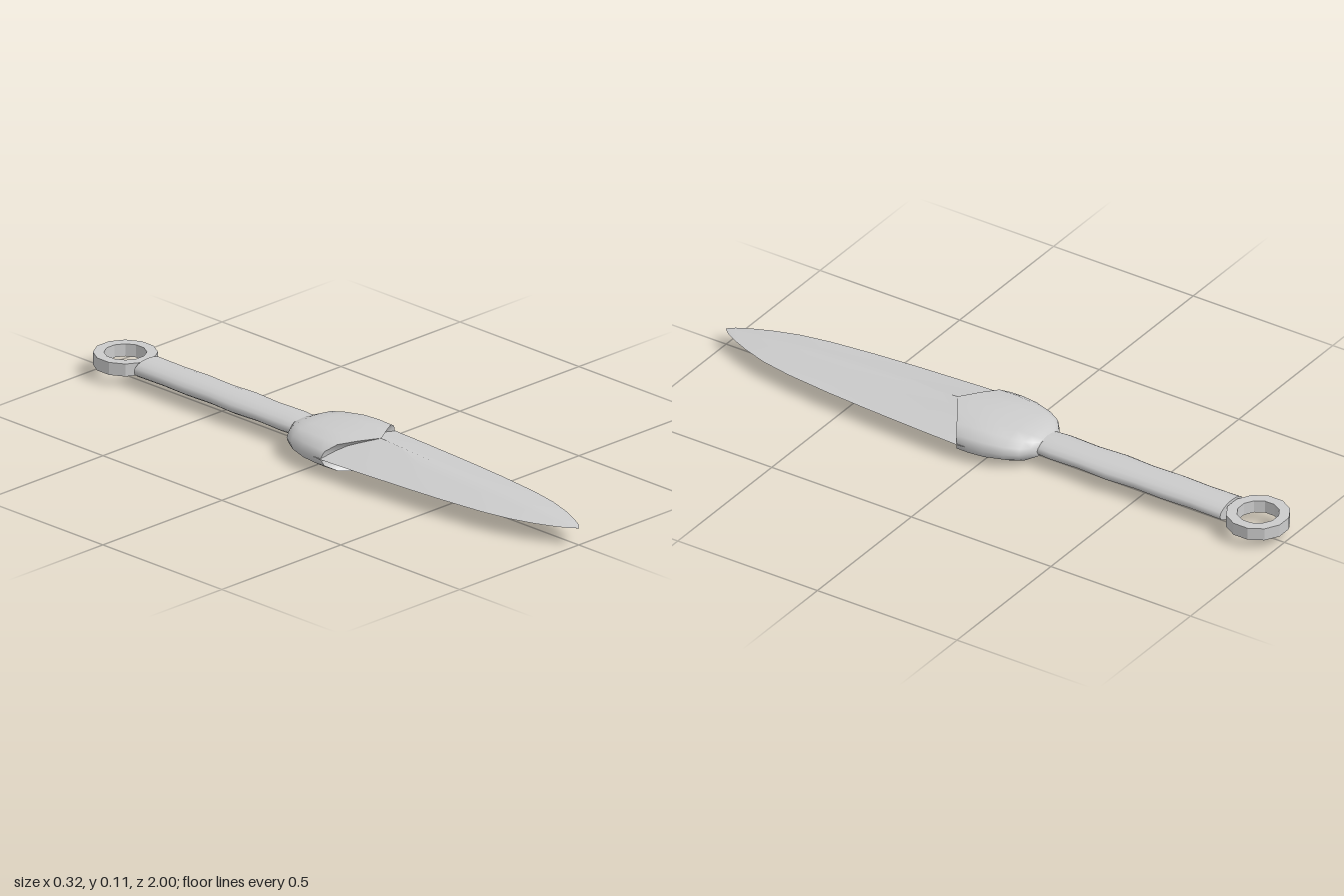
import * as THREE from 'three';
import { toCreasedNormals } from 'three/addons/utils/BufferGeometryUtils.js';

const MID = 0.056; // height of the centre plane
const material = new THREE.MeshStandardMaterial({ color: 0xcccccc });

// Skin closed cross-sections (counterclockwise, ordered towards +z) and cap both ends
function loft(rows, crease) {
  const n = rows[0].length;
  const pos = rows.flat(2);
  const index = [];
  for (let i = 0; i < rows.length - 1; i++) {
    for (let j = 0; j < n; j++) {
      const k = (j + 1) % n;
      const a = i * n + j, b = i * n + k, c = b + n, d = a + n;
      index.push(a, b, c, a, c, d);
    }
  }
  [0, rows.length - 1].forEach((r, end) => {
    const centre = pos.length / 3;
    const z = rows[r].reduce((s, p) => s + p[2], 0) / n;
    pos.push(0, MID, z);
    for (let j = 0; j < n; j++) {
      const a = r * n + j, b = r * n + (j + 1) % n;
      if (end) index.push(centre, a, b);
      else index.push(centre, b, a);
    }
  });
  const g = new THREE.BufferGeometry();
  g.setAttribute('position', new THREE.Float32BufferAttribute(pos, 3));
  g.setIndex(index);
  return toCreasedNormals(g, crease);
}

// Mirror a quarter profile, from the edge to the ridge, into a full loop
function section(quarter, w, h, z, shift = 0) {
  const q = quarter.map(([x, y]) => [x * w, y * h, z + shift * (1 - x)]);
  const flip = (p, sx, sy) => [p[0] * sx, p[1] * sy + MID, p[2]];
  return [
    ...q.slice(0, -1).map(p => flip(p, 1, 1)),
    ...q.slice(1).reverse().map(p => flip(p, -1, 1)),
    ...q.slice(0, -1).map(p => flip(p, -1, -1)),
    ...q.slice(1).reverse().map(p => flip(p, 1, -1)),
  ];
}

const ROUND = [[1, 0], [0.93, 0.45], [0.72, 0.82], [0.38, 0.94], [0, 1]];
const DIAMOND = [[1, 0], [0.85, 0.15], [0.62, 0.38], [0.3, 0.7], [0, 1]];

export function createModel() {
  const group = new THREE.Group();
  const add = (name, geometry) => {
    const mesh = new THREE.Mesh(geometry, material);
    mesh.name = name;
    group.add(mesh);
    return mesh;
  };

  // Rounded shoulder, its front rim running forward to a point on the ridge: z, w, h, shift
  add('shoulder', loft([
    [-0.155, 0.058, 0.026, 0], [-0.14, 0.08, 0.032, 0], [-0.12, 0.108, 0.04, 0],
    [-0.08, 0.132, 0.046, 0.01], [-0.02, 0.15, 0.053, 0.03], [0.03, 0.156, 0.054, 0.06],
    [0.07, 0.157, 0.051, 0.1],
  ].map(([z, w, h, s]) => section(ROUND, w, h, z, s)), 1.0));

  // Blade with a diamond section tapering to the tip
  add('blade', loft([
    [0.04, 0.157, 0.052, 0.1], [0.07, 0.16, 0.05, 0.1], [0.2, 0.154, 0.046, 0.05],
    [0.4, 0.142, 0.037, 0], [0.55, 0.13, 0.03, 0], [0.7, 0.113, 0.023, 0],
    [0.8, 0.094, 0.018, 0], [0.88, 0.068, 0.012, 0], [0.94, 0.042, 0.007, 0],
    [0.98, 0.02, 0.003, 0], [1, 0.002, 0.001, 0],
  ].map(([z, w, h, s]) => section(DIAMOND, w, h, z, s)), 0.6));

  // Slightly uneven oval grip
  const grip = [
    [-0.81, 0.061, 0.028], [-0.7, 0.059, 0.0275], [-0.6, 0.062, 0.029], [-0.5, 0.059, 0.0275],
    [-0.4, 0.065, 0.029], [-0.3, 0.06, 0.0265], [-0.2, 0.063, 0.029], [-0.12, 0.057, 0.026],
  ];
  add('handle', loft(grip.map(([z, w, h]) => Array.from({ length: 16 }, (_, j) => {
    const a = j * Math.PI / 8;
    return [w * Math.cos(a), MID + h * Math.sin(a), z];
  })), 1.1));

  // Flat twelve-sided pommel ring
  const circle = r => Array.from({ length: 12 }, (_, j) => {
    const a = (j + 0.5) * Math.PI / 6;
    return new THREE.Vector2(r * Math.cos(a), r * Math.sin(a));
  });
  const shape = new THREE.Shape(circle(0.097));
  shape.holes.push(new THREE.Path(circle(0.064)));
  const ringGeometry = new THREE.ExtrudeGeometry(shape, { depth: 0.04, bevelEnabled: false });
  ringGeometry.rotateX(-Math.PI / 2);
  add('pommelRing', ringGeometry).position.set(0, MID - 0.02, -0.906);

  return group;
}
